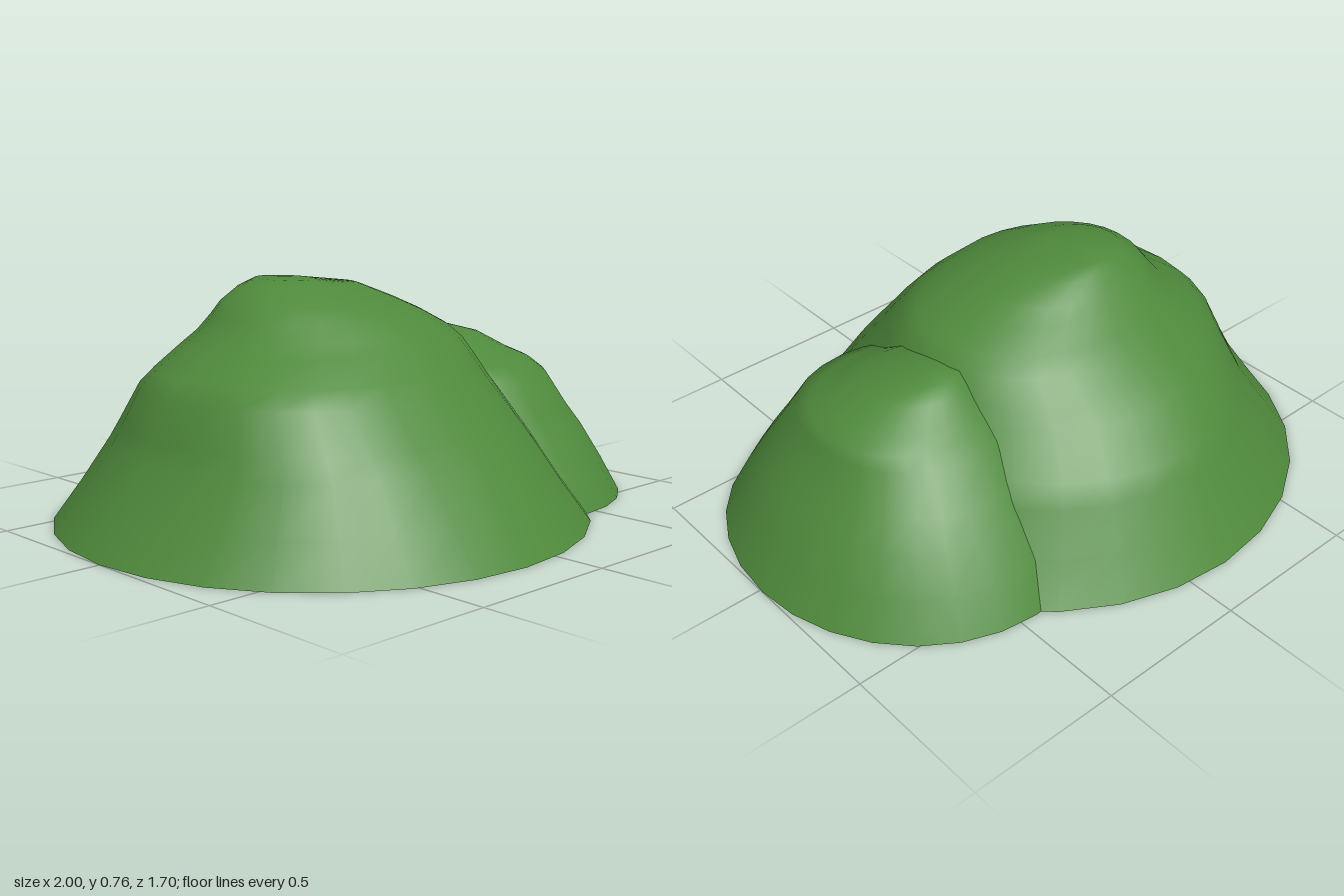
import * as THREE from 'three';

// Cross-sections of each mound:
// [height, left end x, right end x, front z, back z, front fullness, back fullness]
// Fullness 2 is an ellipse, more is boxier; it shapes the half facing away from the other mound.
const LARGE = [
  [0, -1, 0.71, 0.85, -0.85, 2, 2],
  [0.13, -0.91, 0.61, 0.76, -0.77, 2.2, 1.92],
  [0.26, -0.82, 0.53, 0.665, -0.7, 2.45, 1.85],
  [0.32, -0.795, 0.49, 0.62, -0.66, 2.5, 1.8],
  [0.44, -0.75, 0.41, 0.52, -0.54, 2.5, 1.85],
  [0.49, -0.7, 0.38, 0.475, -0.485, 2.5, 1.9],
  [0.56, -0.6, 0.34, 0.4, -0.41, 2.25, 2.05],
  [0.6, -0.54, 0.29, 0.355, -0.36, 2.1, 2.2],
  [0.65, -0.495, 0.19, 0.3, -0.3, 2, 2.35],
  [0.69, -0.46, 0.11, 0.22, -0.26, 2, 2.4],
  [0.735, -0.39, 0.01, 0.11, -0.215, 2, 2.3],
  [0.755, -0.31, -0.15, 0.03, -0.19, 2, 2],
];
const SMALL = [
  [0, -0.12, 1, 0.605, -0.63, 2.05, 2],
  [0.12, -0.08, 0.93, 0.54, -0.56, 2.1, 2.1],
  [0.23, -0.02, 0.86, 0.465, -0.48, 2.2, 2.2],
  [0.3, 0.02, 0.8, 0.42, -0.425, 2.25, 2.25],
  [0.41, 0.08, 0.735, 0.35, -0.33, 2.2, 2.2],
  [0.445, 0.11, 0.72, 0.28, -0.29, 2.1, 2.1],
  [0.475, 0.14, 0.66, 0.22, -0.25, 2, 2],
  [0.53, 0.22, 0.56, 0.13, -0.19, 2, 2],
  [0.56, 0.28, 0.46, 0, -0.15, 2, 2],
];
const SIDES = 28;

// Is a point well inside a mound?
function inside(rows, x, y, z) {
  const k = rows.findIndex((r) => r[0] > y);
  if (k < 1) return false;
  const t = (y - rows[k - 1][0]) / (rows[k][0] - rows[k - 1][0]);
  const [, l, r, f, b] = rows[k].map((v, i) => THREE.MathUtils.lerp(rows[k - 1][i], v, t));
  const dx = (x - (l + r) / 2) / ((r - l) / 2);
  const dz = (z - (f + b) / 2) / ((f - b) / 2);
  return dx * dx + dz * dz < 0.76;
}

const power = (v, n) => Math.sign(v) * Math.abs(v) ** (2 / n);

// Open-bottomed dome lofted from rings; faces buried in the neighbour are left out.
// outer is the sign of x on the side away from the neighbour.
function mound(rows, neighbour, outer) {
  const pos = [];
  const index = [];
  for (const [y, l, r, f, b, frontFull, backFull] of rows) {
    for (let i = 0; i < SIDES; i++) {
      const a = (i / SIDES) * Math.PI * 2;
      const c = Math.cos(a);
      const s = Math.sin(a);
      const full = s > 0 ? frontFull : backFull;
      const n = c * outer > 0 ? full : 2;
      pos.push((l + r) / 2 + (power(c, n) * (r - l)) / 2, y, (f + b) / 2 + (power(s, n) * (f - b)) / 2);
    }
  }
  const [topY, l, r, f, b] = rows[rows.length - 1];
  const apex = pos.length / 3;
  pos.push((l + r) / 2, topY + 0.005, (f + b) / 2);

  for (let j = 0; j < rows.length; j++) {
    for (let i = 0; i < SIDES; i++) {
      const p = j * SIDES + i;
      const q = j * SIDES + ((i + 1) % SIDES);
      if (j === rows.length - 1) index.push(apex, q, p);
      else index.push(p, p + SIDES, q, q, p + SIDES, q + SIDES);
    }
  }

  const geo = new THREE.BufferGeometry();
  geo.setAttribute('position', new THREE.Float32BufferAttribute(pos, 3));
  geo.setIndex(index);
  geo.computeVertexNormals();

  const buried = (v) => inside(neighbour, pos[v * 3], pos[v * 3 + 1], pos[v * 3 + 2]);
  const kept = [];
  for (let t = 0; t < index.length; t += 3) {
    const tri = index.slice(t, t + 3);
    if (!tri.every(buried)) kept.push(...tri);
  }
  geo.setIndex(kept);
  return geo;
}

export function createModel() {
  const model = new THREE.Group();
  model.name = 'bush';
  const leafGreen = new THREE.MeshStandardMaterial({ color: 0x4f8a3c, side: THREE.DoubleSide });
  leafGreen.name = 'leaf green';

  const large = new THREE.Mesh(mound(LARGE, SMALL, -1), leafGreen);
  large.name = 'largeMound';
  const small = new THREE.Mesh(mound(SMALL, LARGE, 1), leafGreen);
  small.name = 'smallMound';

  model.add(large, small);
  return model;
}
